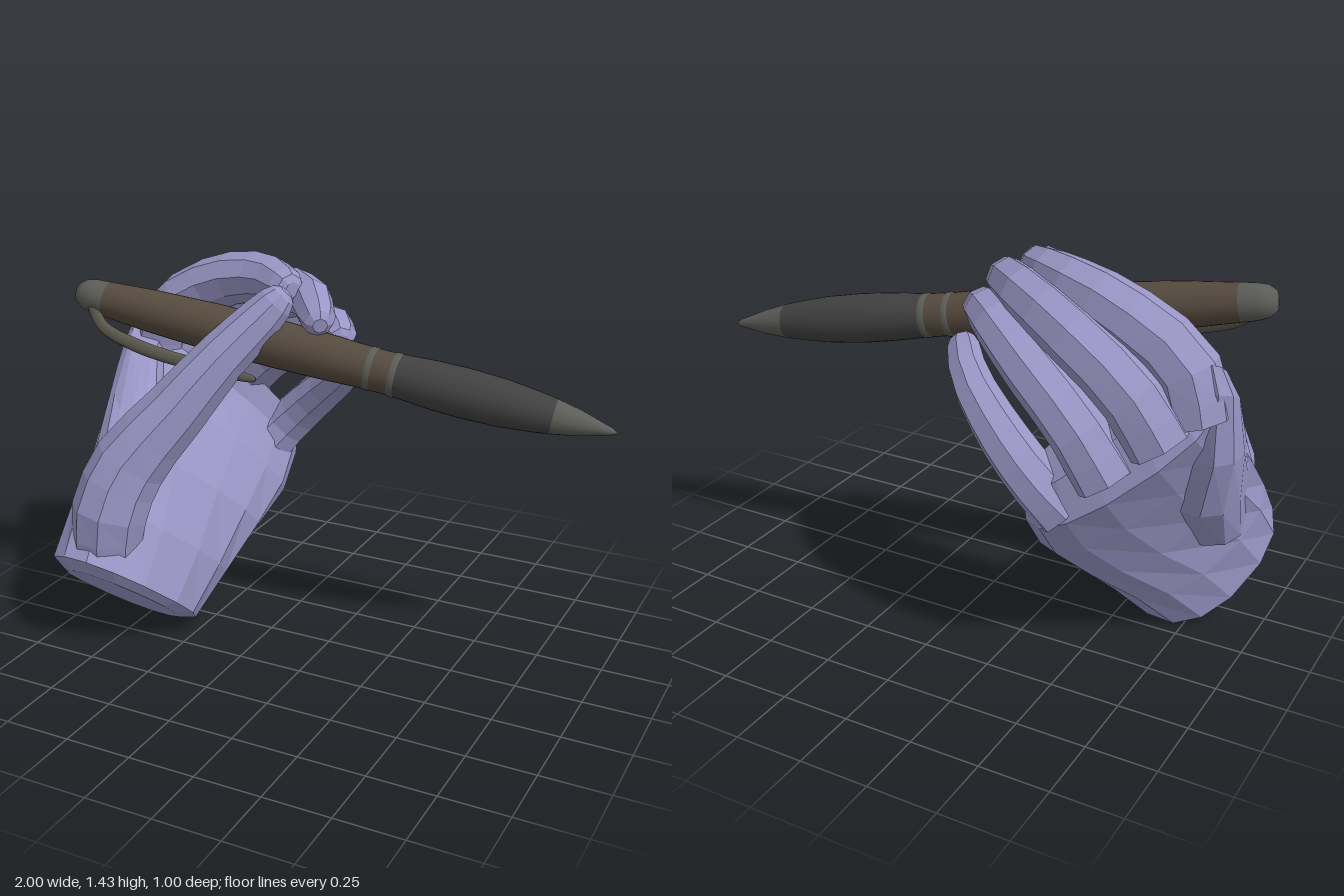
import * as THREE from 'three';

const V = (x, y, z) => new THREE.Vector3(x, y, z);
const skin = new THREE.MeshStandardMaterial({ color: 0x9a96c6, flatShading: true });
const paint = (color) => new THREE.MeshStandardMaterial({ color });

// Joins equal-sized rings of points into a closed, capped skin
function loft(rings) {
  const n = rings[0].length, pos = [], idx = [];
  rings.forEach((ring) => ring.forEach((p) => pos.push(p.x, p.y, p.z)));
  for (let r = 0; r < rings.length - 1; r++) {
    for (let i = 0; i < n; i++) {
      const a = r * n + i, b = r * n + (i + 1) % n;
      idx.push(a, b, a + n, b, b + n, a + n);
    }
  }
  const last = (rings.length - 1) * n;
  for (let i = 1; i < n - 1; i++) {
    idx.push(0, i + 1, i);
    idx.push(last, last + i, last + i + 1);
  }
  const geo = new THREE.BufferGeometry();
  geo.setAttribute('position', new THREE.Float32BufferAttribute(pos, 3));
  geo.setIndex(idx);
  geo.computeVertexNormals();
  return geo;
}

// Slightly boxy oval ring around a centre
function ring(c, u, v, n) {
  return Array.from({ length: n }, (_, i) => {
    const a = (i / n) * Math.PI * 2, co = Math.cos(a), si = Math.sin(a);
    return c.clone()
      .addScaledVector(u, Math.sign(co) * Math.abs(co) ** 0.88)
      .addScaledVector(v, Math.sign(si) * Math.abs(si) ** 0.88);
  });
}

// Limb along joints [x, y, z, radius], with a rounded end and no twist
function limb(joints, sides = 8, steps = 9, flat = 1) {
  const curve = new THREE.CatmullRomCurve3(joints.map((j) => V(j[0], j[1], j[2])));
  const rings = [], m = joints.length - 1;
  const stops = Array.from({ length: steps }, (_, i) => (i / (steps - 1)) * 0.93);
  stops.push(0.98, 1);
  const side = V().crossVectors(V(0.45, -0.2, 0.87), curve.getTangent(0));
  stops.forEach((t) => {
    const k = Math.min(m - 1, Math.floor(t * m)), f = t * m - k;
    let r = joints[k][3] * (1 - f) + joints[k + 1][3] * f;
    if (t > 0.95) r *= t === 1 ? 0.45 : 0.82;
    const d = curve.getTangent(t);
    side.addScaledVector(d, -side.dot(d)).normalize();
    const v = V().crossVectors(d, side).multiplyScalar(r * flat);
    rings.push(ring(curve.getPoint(t), side.clone().multiplyScalar(r), v, sides));
  });
  return loft(rings);
}

function add(group, name, geo, mat) {
  const mesh = new THREE.Mesh(geo, mat);
  mesh.name = name;
  group.add(mesh);
}

function createHand() {
  const hand = new THREE.Group();
  hand.name = 'hand';
  const slab = (sections, n) => loft(sections.map(([c, u, v]) => ring(V(...c), V(...u), V(...v), n)));

  // Wrist to finger roots: centre, half width, half thickness
  add(hand, 'palmAndWrist', slab([
    [[-0.73, 0.18, 0.3], [-0.095, 0.15, 0.165], [0.16, 0.03, 0.045]],
    [[-0.73, 0.2, 0.28], [-0.12, 0.195, 0.21], [0.2, 0.04, 0.06]],
    [[-0.7, 0.36, 0.14], [-0.17, 0.205, 0.2], [0.18, 0.05, 0.06]],
    [[-0.67, 0.53, -0.03], [-0.24, 0.22, 0.18], [0.13, 0.07, 0.07]],
    [[-0.65, 0.69, -0.2], [-0.28, 0.25, 0.14], [0.095, 0.07, 0.07]],
    [[-0.645, 0.82, -0.33], [-0.285, 0.25, 0.1], [0.08, 0.06, 0.07]],
    [[-0.59, 0.94, -0.35], [-0.24, 0.25, 0.085], [0.055, 0.035, 0.05]],
  ], 14), skin);

  // Thumb with its fleshy base
  add(hand, 'thumb', limb([
    [-0.76, 0.36, 0.335, 0.13], [-0.74, 0.54, 0.335, 0.145], [-0.68, 0.72, 0.275, 0.14],
    [-0.53, 0.92, 0.19, 0.117], [-0.38, 1.12, 0.1, 0.095], [-0.26, 1.26, 0.02, 0.08],
    [-0.18, 1.355, -0.025, 0.058],
  ], 9, 12), skin);

  // Flesh between thumb and first knuckle
  add(hand, 'thumbWeb', slab([
    [[-0.78, 0.4, 0.21], [0.06, 0, 0.23], [0.13, 0, -0.03]],
    [[-0.8, 0.6, 0.11], [0.08, 0, 0.3], [0.13, 0, -0.04]],
    [[-0.82, 0.79, 0.03], [0.12, -0.04, 0.29], [0.11, 0, -0.05]],
    [[-0.85, 0.97, -0.07], [0.1, -0.12, 0.22], [0.08, 0, -0.04]],
    [[-0.87, 1.09, -0.16], [0.05, -0.09, 0.12], [0.05, 0, -0.025]],
  ], 12), skin);

  const fingers = {
    indexFinger: [[-0.87, 0.97, -0.24, 0.11], [-0.82, 1.14, -0.24, 0.11], [-0.6, 1.29, -0.25, 0.1],
      [-0.36, 1.35, -0.2, 0.085], [-0.19, 1.345, -0.09, 0.062]],
    middleFinger: [[-0.78, 0.9, -0.32, 0.115], [-0.68, 1.06, -0.345, 0.107], [-0.44, 1.23, -0.325, 0.1],
      [-0.2, 1.3, -0.21, 0.083], [-0.04, 1.25, -0.01, 0.06]],
    ringFinger: [[-0.62, 0.76, -0.37, 0.11], [-0.52, 0.92, -0.39, 0.1], [-0.31, 1.09, -0.34, 0.095],
      [-0.12, 1.19, -0.24, 0.08], [0.0, 1.17, -0.11, 0.058]],
    littleFinger: [[-0.47, 0.61, -0.37, 0.105], [-0.38, 0.71, -0.405, 0.092], [-0.25, 0.84, -0.395, 0.085],
      [-0.09, 0.98, -0.32, 0.07], [0.02, 1.07, -0.19, 0.053]],
  };
  for (const name in fingers) add(hand, name, limb(fingers[name]), skin);
  return hand;
}

function createPen() {
  const pen = new THREE.Group();
  pen.name = 'pen';
  const rear = V(-0.995, 1.288, 0.093), tip = V(1, 0.95, -0.21);
  const body = new THREE.Group();
  body.name = 'penBody';
  body.position.copy(rear);
  body.quaternion.setFromUnitVectors(V(0, 1, 0), tip.clone().sub(rear).normalize());
  pen.add(body);

  // Turned parts: [radius, distance from the rear end]
  const metal = paint(0x5c5c58), brown = paint(0x554a3e);
  const turned = [
    ['endCap', metal, [[0, 0], [0.036, 0.004], [0.055, 0.03], [0.063, 0.07], [0.066, 0.12]]],
    ['barrel', brown, [[0.066, 0.12], [0.079, 0.3], [0.088, 0.55], [0.088, 0.8], [0.083, 1.0], [0.077, 1.14]]],
    ['lowerRing', metal, [[0.077, 1.14], [0.08, 1.145], [0.08, 1.16], [0.077, 1.165]]],
    ['collar', brown, [[0.077, 1.165], [0.078, 1.23]]],
    ['upperRing', metal, [[0.078, 1.23], [0.081, 1.235], [0.081, 1.25], [0.079, 1.255]]],
    ['grip', paint(0x414141), [[0.079, 1.255], [0.087, 1.38], [0.09, 1.5], [0.085, 1.64], [0.072, 1.76], [0.063, 1.82]]],
    ['point', metal, [[0.063, 1.82], [0.045, 1.91], [0.022, 1.99], [0.014, 2.02], [0, 2.045]]],
  ];
  for (const [name, mat, pts] of turned) {
    add(body, name, new THREE.LatheGeometry(pts.map((p) => new THREE.Vector2(p[0], p[1])), 28), mat);
  }

  // Sprung clip along the barrel
  add(pen, 'clip', limb([
    [-0.92, 1.26, 0.12, 0.022], [-0.86, 1.185, 0.142, 0.022], [-0.71, 1.13, 0.145, 0.025],
    [-0.48, 1.085, 0.125, 0.024], [-0.25, 1.05, 0.09, 0.017],
  ], 10, 20, 0.75), paint(0x5a584c));
  return pen;
}

export function createModel() {
  const model = new THREE.Group();
  model.name = 'handHoldingPen';
  model.add(createHand(), createPen());
  return model;
}
